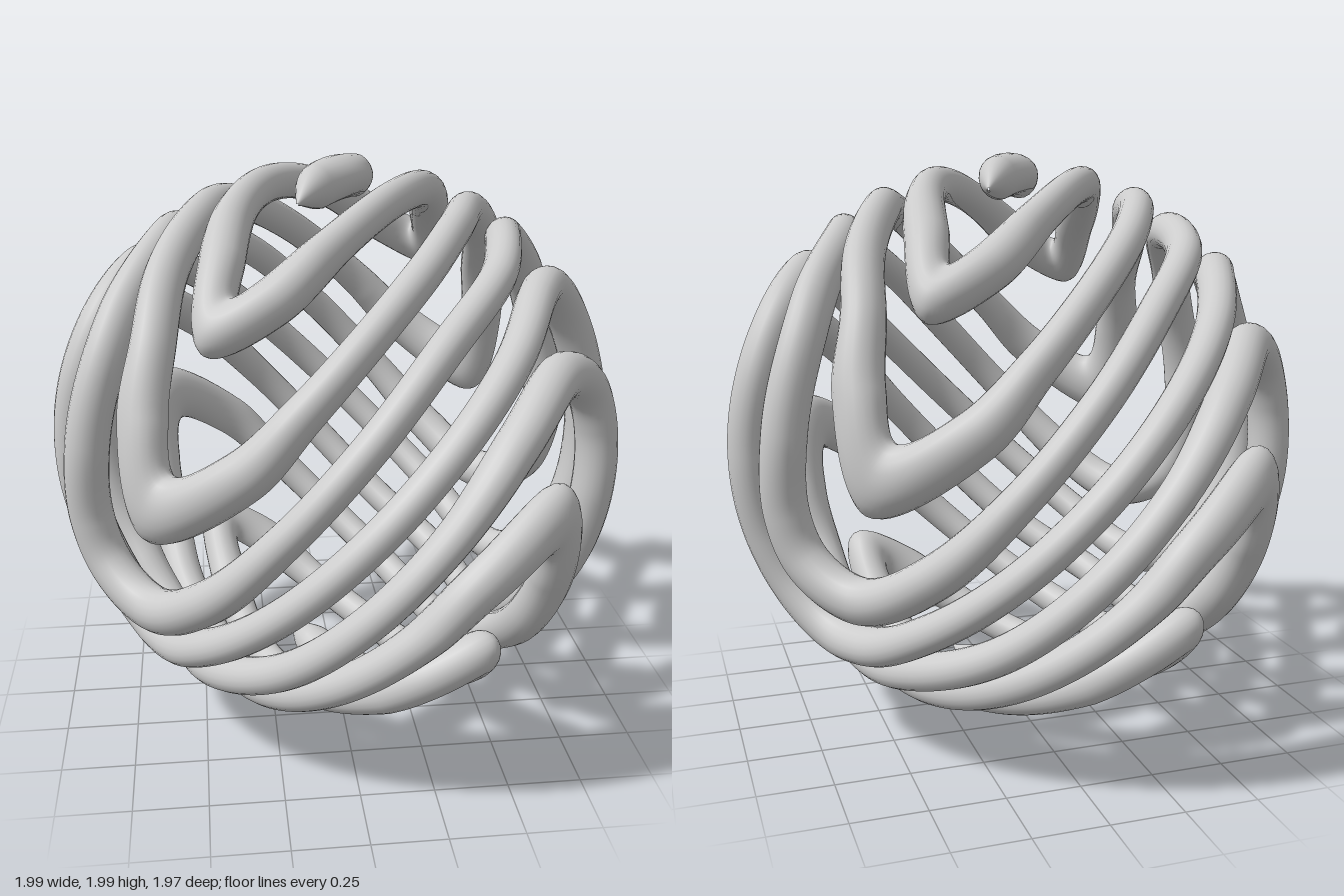
import * as THREE from 'three';

const R = 0.922, SIDES = 20, STEPS = 14;

// Strand lying on the sphere through points [x, y, z, halfWidth].
// Both edges are smooth curves of their own, so sharp bends fill in softly.
function strandGeometry(points, closed) {
  const spine = points.map(([x, y, z]) => new THREE.Vector3(x, y, z).setLength(R));
  const path = new THREE.CatmullRomCurve3(spine, closed);
  const spanCount = closed ? points.length : points.length - 1;
  const edge = (sign) => new THREE.CatmullRomCurve3(spine.map((p, i) => {
    const side = p.clone().cross(path.getTangent(i / spanCount)).normalize();
    return p.clone().addScaledVector(side, sign * points[i][3]).setLength(R);
  }), closed);
  const edgeA = edge(1), edgeB = edge(-1);
  const spans = spanCount * STEPS;
  const rows = closed ? spans : spans + 1;
  const positions = [], indices = [];
  for (let i = 0; i < rows; i++) {
    const a = edgeA.getPoint(i / spans), b = edgeB.getPoint(i / spans);
    const half = a.clone().sub(b).multiplyScalar(0.5);
    const centre = a.add(b).setLength(R);
    const out = centre.clone().normalize();
    const depth = Math.min(0.073, half.length() * 1.1);
    for (let j = 0; j < SIDES; j++) {
      const angle = (j / SIDES) * Math.PI * 2;
      const p = centre.clone().addScaledVector(half, Math.cos(angle)).addScaledVector(out, depth * Math.sin(angle));
      positions.push(p.x, p.y, p.z);
    }
  }
  for (let i = 0; i < (closed ? rows : rows - 1); i++)
    for (let j = 0; j < SIDES; j++) {
      const k = (j + 1) % SIDES, row = i * SIDES, next = ((i + 1) % rows) * SIDES;
      indices.push(row + j, row + k, next + j, row + k, next + k, next + j);
    }
  const geometry = new THREE.BufferGeometry();
  geometry.setAttribute('position', new THREE.Float32BufferAttribute(positions, 3));
  geometry.setIndex(indices);
  geometry.computeVertexNormals();
  return geometry;
}

// Half turns about the x and y axes
const turnX = ([x, y, z, w]) => [x, -y, -z, w];
const turnY = ([x, y, z, w]) => [-x, y, -z, w];
const fullLoop = (half) => [...half, ...half.map(turnY)];

// Half of each loop, from its front left bend over to the back right one
const smallLoop = [
  [-0.405, 0.575, 0.585, 0.1], [-0.25, 0.66, 0.6, 0.075], [-0.04, 0.79, 0.45, 0.06],
  [0.19, 0.89, 0.17, 0.057], [0.32, 0.86, -0.11, 0.06], [0.39, 0.73, -0.39, 0.072],
];
const mediumLoop = [
  [-0.605, 0.05, 0.68, 0.122], [-0.36, 0.2, 0.83, 0.08], [-0.18, 0.38, 0.82, 0.063],
  [0, 0.55, 0.74, 0.058], [0.2, 0.71, 0.55, 0.058], [0.34, 0.79, 0.3, 0.058],
  [0.45, 0.8, 0, 0.06], [0.57, 0.66, -0.29, 0.065], [0.61, 0.5, -0.47, 0.07],
  [0.65, 0.29, -0.58, 0.085],
];
const wideLoop = [
  [-0.655, -0.37, 0.53, 0.077], [-0.47, -0.24, 0.75, 0.07], [-0.24, 0.02, 0.89, 0.058],
  [0, 0.28, 0.87, 0.056], [0.25, 0.53, 0.71, 0.057], [0.45, 0.66, 0.44, 0.058],
  [0.58, 0.71, 0, 0.06], [0.71, 0.55, -0.2, 0.066], [0.775, 0.4, -0.29, 0.071],
  [0.845, 0.13, -0.34, 0.075], [0.845, -0.13, -0.34, 0.076], [0.79, -0.28, -0.38, 0.078],
];
// Quarter of the strand that winds between the upper and lower loops
const middleQuarter = [
  [0.25, 0.25, 0.85, 0.056], [0.47, 0.46, 0.64, 0.058], [0.6, 0.58, 0.38, 0.062],
  [0.69, 0.58, 0.2, 0.069], [0.78, 0.47, 0.07, 0.077], [0.87, 0.3, 0.008, 0.084],
];
const middleStrand = [
  [0, 0, 0.92, 0.056], ...middleQuarter, [0.92, 0, 0, 0.085],
  ...middleQuarter.map(turnX).reverse(),
];
// Leaf-shaped piece at each pole
const poleLeaf = [
  [-0.15, 0.89, 0.245, 0.004], [-0.09, 0.91, 0.14, 0.06], [0, 0.92, 0, 0.09],
  [0.09, 0.91, -0.14, 0.06], [0.15, 0.89, -0.245, 0.004],
];

export function createModel() {
  const group = new THREE.Group();
  group.name = 'wovenSphere';
  const material = new THREE.MeshStandardMaterial({ color: 0xcccccc });
  const add = (name, geometry, turned) => {
    const mesh = new THREE.Mesh(geometry, material);
    mesh.name = name;
    mesh.position.y = 1;
    if (turned) mesh.rotation.x = Math.PI;
    group.add(mesh);
  };

  add('middle strand', strandGeometry(fullLoop(middleStrand), true), false);

  // Each upper part has a lower twin, turned over about the x axis
  const pairs = {
    'small loop': strandGeometry(fullLoop(smallLoop), true),
    'medium loop': strandGeometry(fullLoop(mediumLoop), true),
    'wide loop': strandGeometry(fullLoop(wideLoop), true),
    'pole leaf': strandGeometry(poleLeaf, false),
  };
  for (const [name, geometry] of Object.entries(pairs)) {
    add('upper ' + name, geometry, false);
    add('lower ' + name, geometry, true);
  }
  return group;
}
